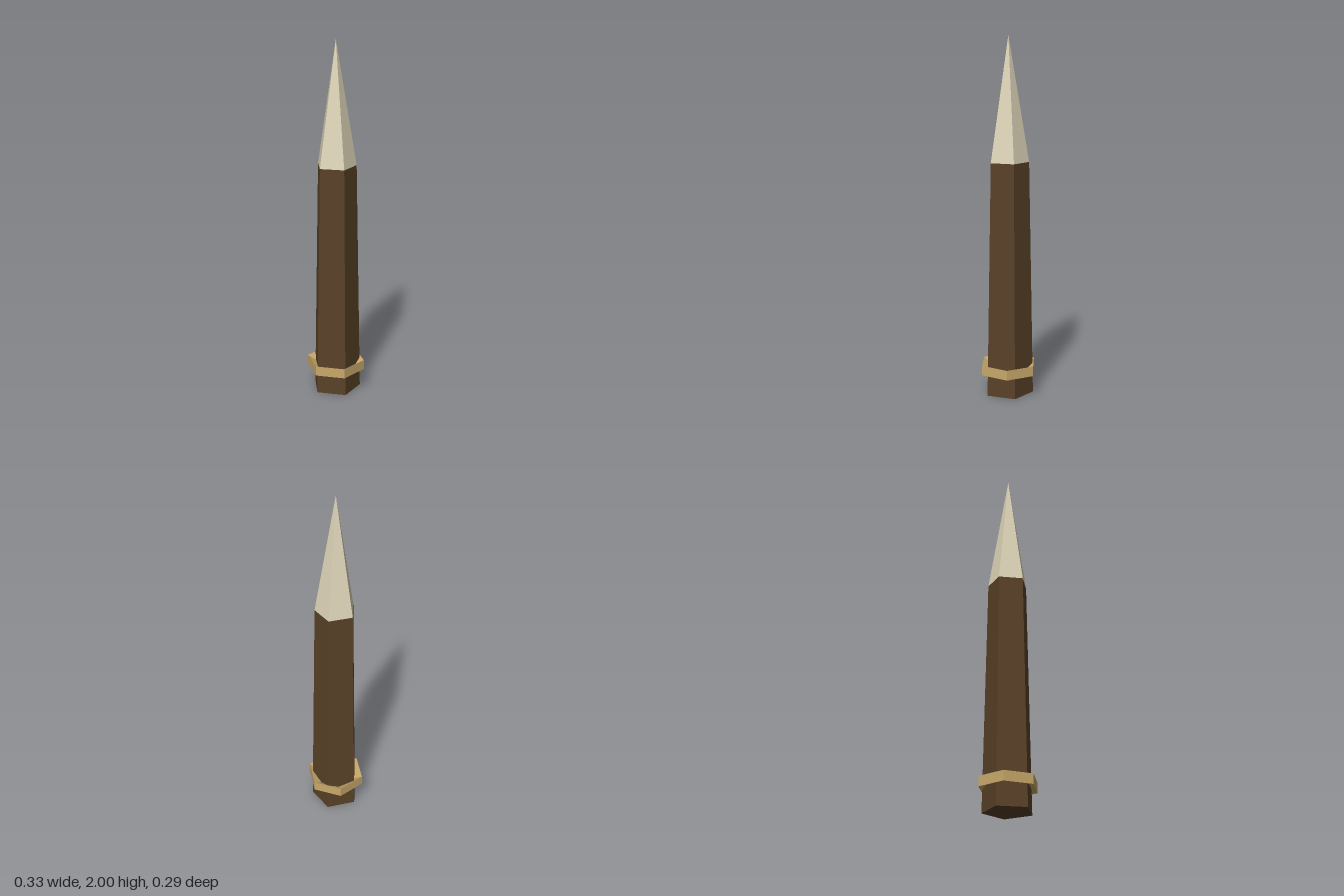
import * as THREE from 'three';

const wood = new THREE.MeshStandardMaterial({ color: 0x5a4228 });
wood.name = 'dark wood';
const bone = new THREE.MeshStandardMaterial({ color: 0xe0d6ba });
bone.name = 'pale sharpened wood';
const rope = new THREE.MeshStandardMaterial({ color: 0xc8a96a });
rope.name = 'tan binding';

// Mesh with faceted normals
function facetedMesh(name, geometry, material) {
  const flat = geometry.toNonIndexed();
  flat.computeVertexNormals();
  const mesh = new THREE.Mesh(flat, material);
  mesh.name = name;
  return mesh;
}

export function createModel() {
  const group = new THREE.Group();
  group.name = 'stake';
  const sides = 5;
  const shaftHeight = 1.315;
  const tipHeight = 2 - shaftHeight;
  const shaftTop = 0.114;

  // Tapered five-sided shaft, one corner pointing to the back
  const shaft = facetedMesh('shaft',
    new THREE.CylinderGeometry(shaftTop, 0.14, shaftHeight, sides, 1, false, Math.PI), wood);
  shaft.position.y = shaftHeight / 2;

  // Sharpened tip continuing the shaft facets
  const tip = facetedMesh('tip',
    new THREE.ConeGeometry(shaftTop, tipHeight, sides, 1, true, Math.PI), bone);
  tip.position.y = shaftHeight + tipHeight / 2;

  // Six-sided band with a wedge section that narrows into the shaft
  const section = [[0.115, 0.147], [0.165, 0.119], [0.165, 0.175], [0.115, 0.147]]
    .map(([r, y]) => new THREE.Vector2(r, y));
  const band = facetedMesh('band', new THREE.LatheGeometry(section, 6, Math.PI / 2), rope);

  group.add(shaft, tip, band);
  return group;
}
